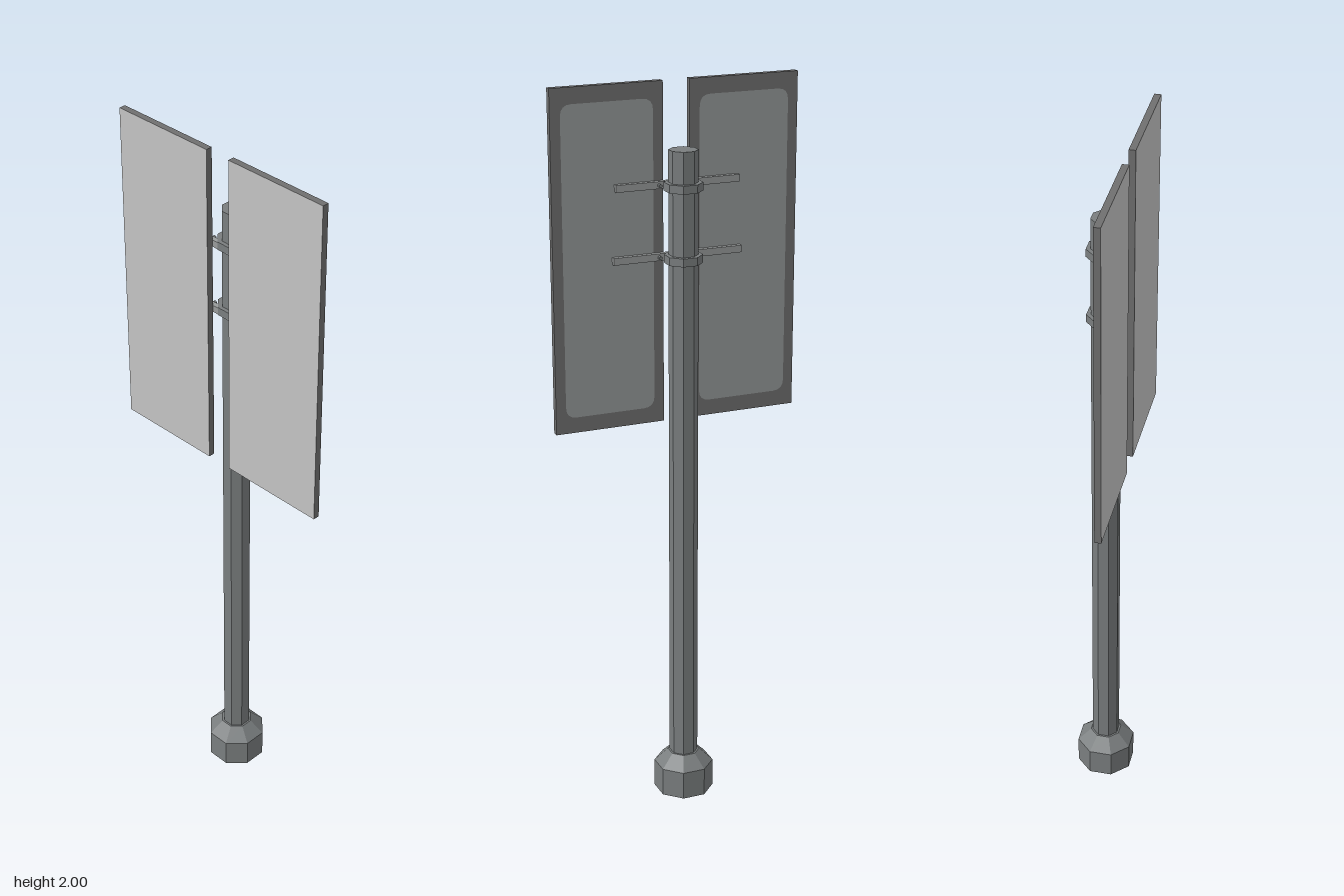
import * as THREE from 'three';

const mat = (name, color) => {
  const m = new THREE.MeshStandardMaterial({ color, flatShading: true });
  m.name = name;
  return m;
};

export function createModel() {
  const model = new THREE.Group();
  model.name = 'signPost';
  const post = mat('post grey', 0x7a7e7f);
  const face = mat('sign face light grey', 0xc4c4c4);
  const frame = mat('sign frame grey', 0x707070);
  const back = mat('sign back grey', 0x959a9a);
  const bar = mat('bar grey', 0x999c9c);

  const add = (name, geometry, material, x = 0, y = 0, z = 0) => {
    const mesh = new THREE.Mesh(geometry, material);
    mesh.name = name;
    mesh.position.set(x, y, z);
    model.add(mesh);
    return mesh;
  };

  // Octagonal prism with flats on the axes, sized by its apothem
  const octagon = (name, top, bottom, y0, y1) => {
    const k = 1 / Math.cos(Math.PI / 8);
    const g = new THREE.CylinderGeometry(top * k, bottom * k, y1 - y0, 8);
    g.rotateY(Math.PI / 8);
    return add(name, g, post, 0, (y0 + y1) / 2, 0);
  };

  octagon('foot', 0.076, 0.076, 0, 0.08);
  octagon('footTaper', 0.041, 0.076, 0.08, 0.116);
  octagon('pole', 0.036, 0.036, 0.11, 1.83);

  // Clamps: ring, crossbar and a bolt on each side
  for (const [y, half] of [[1.735, 0.172], [1.545, 0.18]]) {
    octagon('clampRing', 0.047, 0.047, y - 0.011, y + 0.011);
    add('crossbar', new THREE.BoxGeometry(half * 2, 0.019, 0.014), bar, 0, y, 0.04);
    for (const side of [-1, 1]) {
      const bolt = new THREE.CylinderGeometry(0.005, 0.005, 0.014, 6).rotateX(Math.PI / 2);
      add('clampBolt', bolt, post, side * 0.054, y, 0.028);
    }
  }

  // Rounded inset for the rear of a sign
  const w = 0.25, h = 0.825, r = 0.03;
  const inset = new THREE.Shape();
  inset.moveTo(-w / 2 + r, -h / 2);
  inset.lineTo(w / 2 - r, -h / 2);
  inset.quadraticCurveTo(w / 2, -h / 2, w / 2, -h / 2 + r);
  inset.lineTo(w / 2, h / 2 - r);
  inset.quadraticCurveTo(w / 2, h / 2, w / 2 - r, h / 2);
  inset.lineTo(-w / 2 + r, h / 2);
  inset.quadraticCurveTo(-w / 2, h / 2, -w / 2, h / 2 - r);
  inset.lineTo(-w / 2, -h / 2 + r);
  inset.quadraticCurveTo(-w / 2, -h / 2, -w / 2 + r, -h / 2);
  const insetGeometry = new THREE.ShapeGeometry(inset, 4).rotateY(Math.PI);

  // Two sign panels: light front, darker edges and rear frame
  const panelMaterials = [frame, frame, frame, frame, face, frame];
  for (const side of [-1, 1]) {
    const x = side * 0.1895, y = 1.545;
    add(side > 0 ? 'leftSign' : 'rightSign', new THREE.BoxGeometry(0.305, 0.91, 0.018), panelMaterials, x, y, 0.056);
    add('signBack', insetGeometry, back, x, y, 0.0458);
  }

  return model;
}
